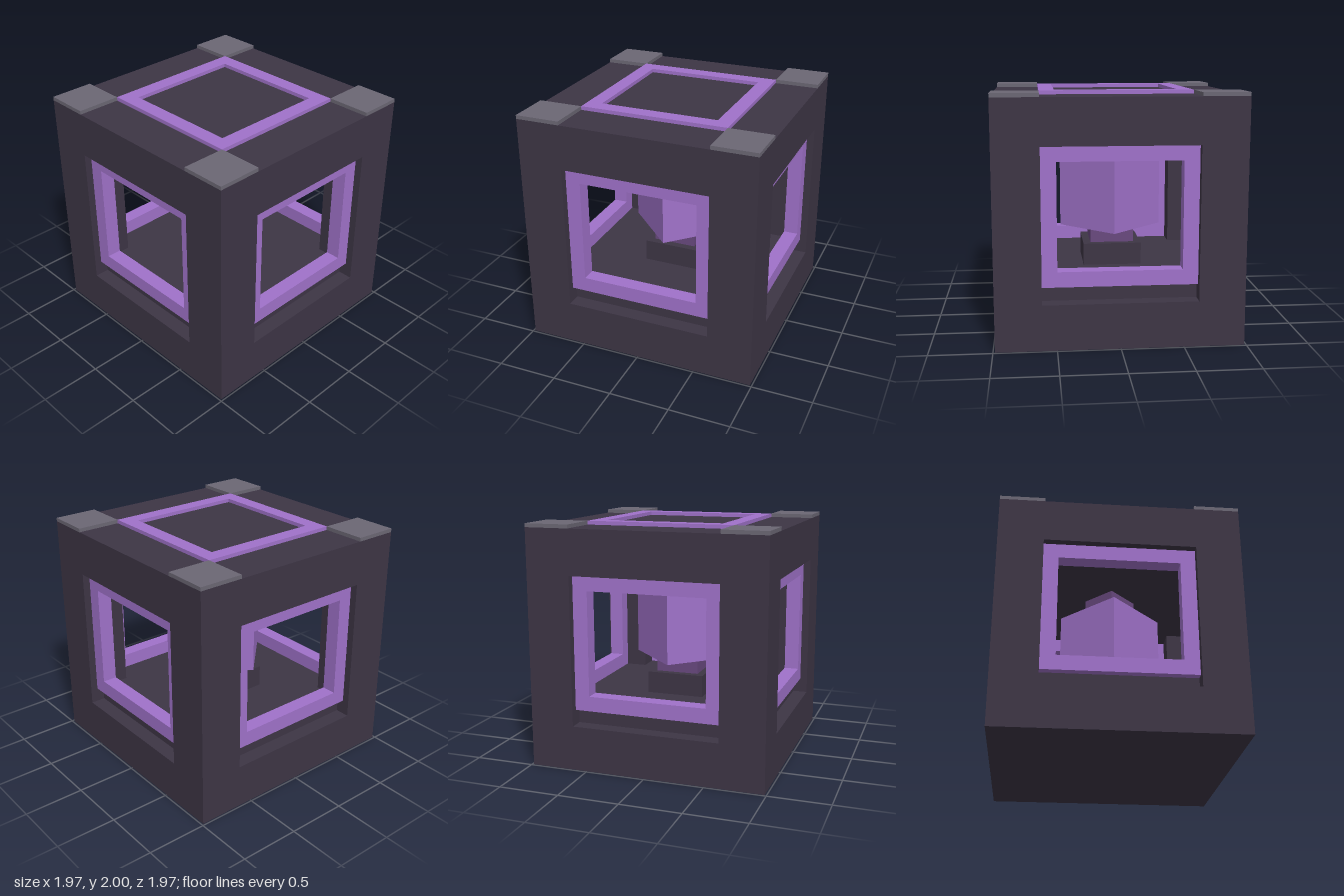
import * as THREE from 'three';

const U = 2 / 16.25; // module unit: the casing is 16 units wide

export function createModel() {
  const model = new THREE.Group();
  const mat = (name, color) => {
    const m = new THREE.MeshStandardMaterial({ color });
    m.name = name;
    return m;
  };
  const dark = mat('dark casing', 0x3d3545);
  const grey = mat('grey cap', 0x6b6774);
  const purple = mat('bright purple', 0xa072ca);
  const deep = mat('deep purple', 0x69497f);

  // Box given in units: size, bottom height, centre
  function box(name, material, w, h, d, y, x = 0, z = 0) {
    const mesh = new THREE.Mesh(new THREE.BoxGeometry(w * U, h * U, d * U), material);
    mesh.position.set(x * U, (y + h / 2) * U, z * U);
    mesh.name = name;
    model.add(mesh);
    return mesh;
  }

  // Rectangular frame with one-unit bars, extruded along +z
  function frameGeometry(w, h, depth) {
    const rect = (P, a, b) => new P([
      new THREE.Vector2(-a, -b), new THREE.Vector2(a, -b),
      new THREE.Vector2(a, b), new THREE.Vector2(-a, b),
    ]);
    const shape = rect(THREE.Shape, w * U / 2, h * U / 2);
    shape.holes.push(rect(THREE.Path, (w / 2 - 1) * U, (h / 2 - 1) * U));
    return new THREE.ExtrudeGeometry(shape, { depth: depth * U, bevelEnabled: false });
  }

  // Casing: base, roof, corner posts with caps, raised inner floor
  box('baseSlab', dark, 16, 3, 16, 0);
  box('roofSlab', dark, 16, 3, 16, 13);
  box('innerFloor', dark, 14, 1, 14, 3);
  for (const x of [-6.5, 6.5]) {
    for (const z of [-6.5, 6.5]) {
      box('cornerPost', dark, 3, 10, 3, 3, x, z);
      box('cornerCap', grey, 3, 0.25, 3, 16, x, z);
    }
  }

  // Recessed window frame on each of the four sides
  const windowGeometry = frameGeometry(10, 9, 1);
  windowGeometry.translate(0, 8.5 * U, 6.5 * U);
  for (let i = 0; i < 4; i++) {
    const frame = new THREE.Mesh(windowGeometry, purple);
    frame.rotation.y = i * Math.PI / 2;
    frame.name = 'windowFrame';
    model.add(frame);
  }

  // Raised frame on the roof
  const roofFrame = new THREE.Mesh(frameGeometry(10, 10, 0.25), purple);
  roofFrame.rotation.x = -Math.PI / 2;
  roofFrame.position.y = 16 * U;
  roofFrame.name = 'roofFrame';
  model.add(roofFrame);

  // Core: pedestal, stem, turned cube and hanger
  box('pedestal', dark, 4, 1.5, 4, 4);
  box('coreStem', deep, 3, 1, 3, 5.5);
  box('coreCube', purple, 5, 5, 5, 6.5).rotation.y = Math.PI / 4;
  box('coreHanger', deep, 2.5, 1.5, 2.5, 11.5).rotation.y = Math.PI / 4;

  return model;
}
